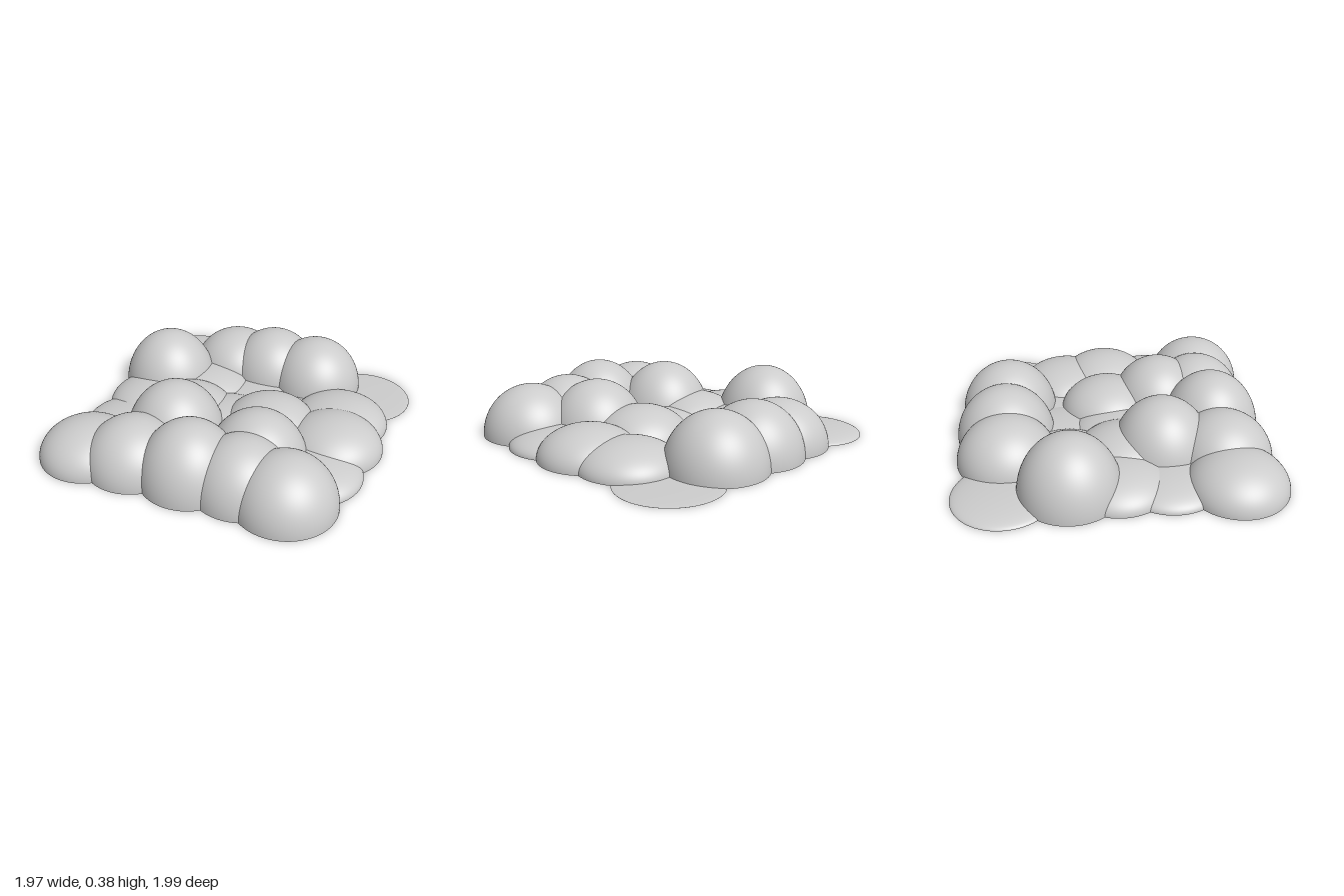
import * as THREE from 'three';

const RADIUS = 0.312;

// Mounds in five rows, back to front: [x, z, height]
const ROWS = [
  [[-0.65, -0.685, 0.05], [-0.29, -0.67, 0.29], [-0.01, -0.685, 0.34], [0.31, -0.67, 0.345], [0.675, -0.645, 0.012]],
  [[-0.643, -0.3, 0.38], [-0.36, -0.3, 0.15], [-0.01, -0.31, 0.08], [0.32, -0.31, 0.06], [0.62, -0.28, 0.165]],
  [[-0.6, -0.01, 0.15], [-0.32, 0.05, 0.2], [-0.04, 0.05, 0.14], [0.24, -0.01, 0.23], [0.67, 0, 0.2]],
  [[-0.6, 0.3, 0.1], [-0.285, 0.29, 0.375], [0.02, 0.31, 0.1], [0.3, 0.34, 0.345], [0.64, 0.31, 0.115]],
  [[-0.675, 0.685, 0.22], [-0.37, 0.655, 0.305], [0, 0.645, 0.38], [0.32, 0.605, 0.335], [0.6, 0.635, 0.32]],
];

export function createModel() {
  const model = new THREE.Group();
  model.name = 'moundCluster';
  const material = new THREE.MeshStandardMaterial({ color: 0xcccccc });

  // Unit half sphere and the flat disc that closes it underneath
  const domeGeometry = new THREE.SphereGeometry(1, 64, 24, 0, Math.PI * 2, 0, Math.PI / 2);
  const baseGeometry = new THREE.CircleGeometry(1, 64).rotateX(Math.PI / 2);

  ROWS.forEach((row, r) => row.forEach(([x, z, height], c) => {
    const mound = new THREE.Group();
    mound.name = `moundRow${r + 1}Column${c + 1}`;

    const dome = new THREE.Mesh(domeGeometry, material);
    dome.name = 'dome';
    const base = new THREE.Mesh(baseGeometry, material);
    base.name = 'flatBase';

    mound.add(dome, base);
    mound.position.set(x, 0, z);
    mound.scale.set(RADIUS, height, RADIUS);
    model.add(mound);
  }));

  return model;
}
